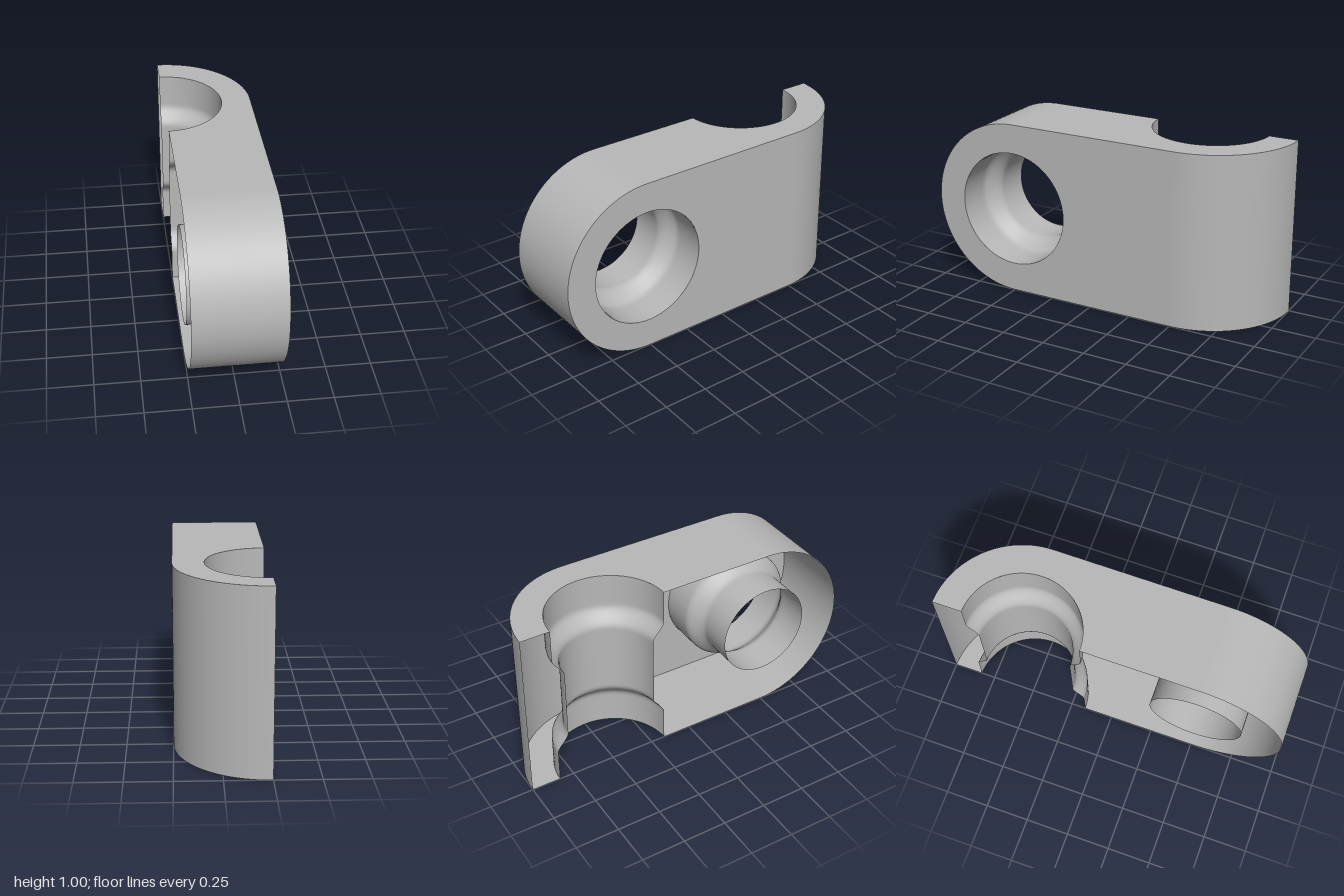
import * as THREE from 'three';

const R = 0.5;        // outer end radius
const MOUTH = 0.333;  // bore radius at the faces
const NECK = 0.267;   // bore radius in the middle
const CUT = -0.25;    // open section plane (x)

// Bore profile along its axis (0..1), wide at the mouths and eased into a narrow neck.
// Runs downwards so that the surface faces the axis.
function boreProfile(from, to) {
  const points = [];
  const add = (y) => {
    const t = THREE.MathUtils.smoothstep(Math.abs(y - 0.5), 0.2, 0.31);
    points.push(new THREE.Vector2(THREE.MathUtils.lerp(NECK, MOUTH, t), y));
  };
  const steps = Math.round((to - from) * 64);
  for (let i = 0; i <= steps; i++) add(to + (from - to) * (i / steps));
  return points;
}

// Flat side with a rounded front and a round bore mouth; drawn in (-z, y)
function sideGeometry() {
  const shape = new THREE.Shape();
  shape.moveTo(0.5, 0);
  shape.lineTo(0.5, 1);
  shape.lineTo(-0.5, 1);
  shape.absarc(-0.5, 0.5, R, Math.PI / 2, Math.PI * 1.5, false);
  shape.closePath();
  const hole = new THREE.Path();
  hole.absarc(-0.5, 0.5, MOUTH, 0, Math.PI * 2, true);
  shape.holes.push(hole);
  return new THREE.ShapeGeometry(shape, 48).rotateY(Math.PI / 2);
}

// Top (sign 1) or bottom (sign -1) plate with the halved bore mouth; drawn in (x, -z)
function plateGeometry(sign) {
  const outline = new THREE.Shape();
  outline.moveTo(CUT, -0.5);
  outline.lineTo(0.25, -0.5);
  outline.lineTo(0.25, 0.5);
  outline.absarc(CUT, 0.5, R, 0, Math.PI / 2, false);
  outline.lineTo(CUT, 0.5 + MOUTH);
  outline.absarc(CUT, 0.5, MOUTH, Math.PI / 2, -Math.PI / 2, true);
  outline.closePath();
  const points = outline.getPoints(40).map((p) => new THREE.Vector2(p.x, p.y * sign));
  return new THREE.ShapeGeometry(new THREE.Shape(points)).rotateX(-sign * Math.PI / 2);
}

export function createModel() {
  const group = new THREE.Group();
  group.name = 'halvedLink';
  const grey = new THREE.MeshStandardMaterial({ color: 0xb8b8b8, side: THREE.DoubleSide });
  grey.name = 'grey';

  const add = (name, geometry, x, y, z) => {
    const mesh = new THREE.Mesh(geometry, grey);
    mesh.name = name;
    mesh.position.set(x, y, z);
    group.add(mesh);
  };

  // Flat faces
  add('sidePlate', sideGeometry(), 0.25, 0, 0);
  add('topPlate', plateGeometry(1), 0, 1, 0);
  add('bottomPlate', plateGeometry(-1), 0, 0, 0);

  // Rounded ends
  const front = new THREE.CylinderGeometry(R, R, 0.5, 64, 1, true, -Math.PI / 2, Math.PI);
  add('frontEnd', front.rotateZ(-Math.PI / 2), 0, 0.5, 0.5);
  const back = new THREE.CylinderGeometry(R, R, 1, 40, 1, true, Math.PI / 2, Math.PI / 2);
  add('backEnd', back, CUT, 0.5, -0.5);

  // Upright bore, halved by the section plane
  add('uprightBore', new THREE.LatheGeometry(boreProfile(0, 1), 48, 0, Math.PI), CUT, 0, -0.5);

  // Cross bore, full round but only half its length
  const cross = new THREE.LatheGeometry(boreProfile(0.5, 1), 80);
  add('crossBore', cross.rotateZ(-Math.PI / 2), CUT - 0.5, 0.5, 0.5);

  return group;
}
